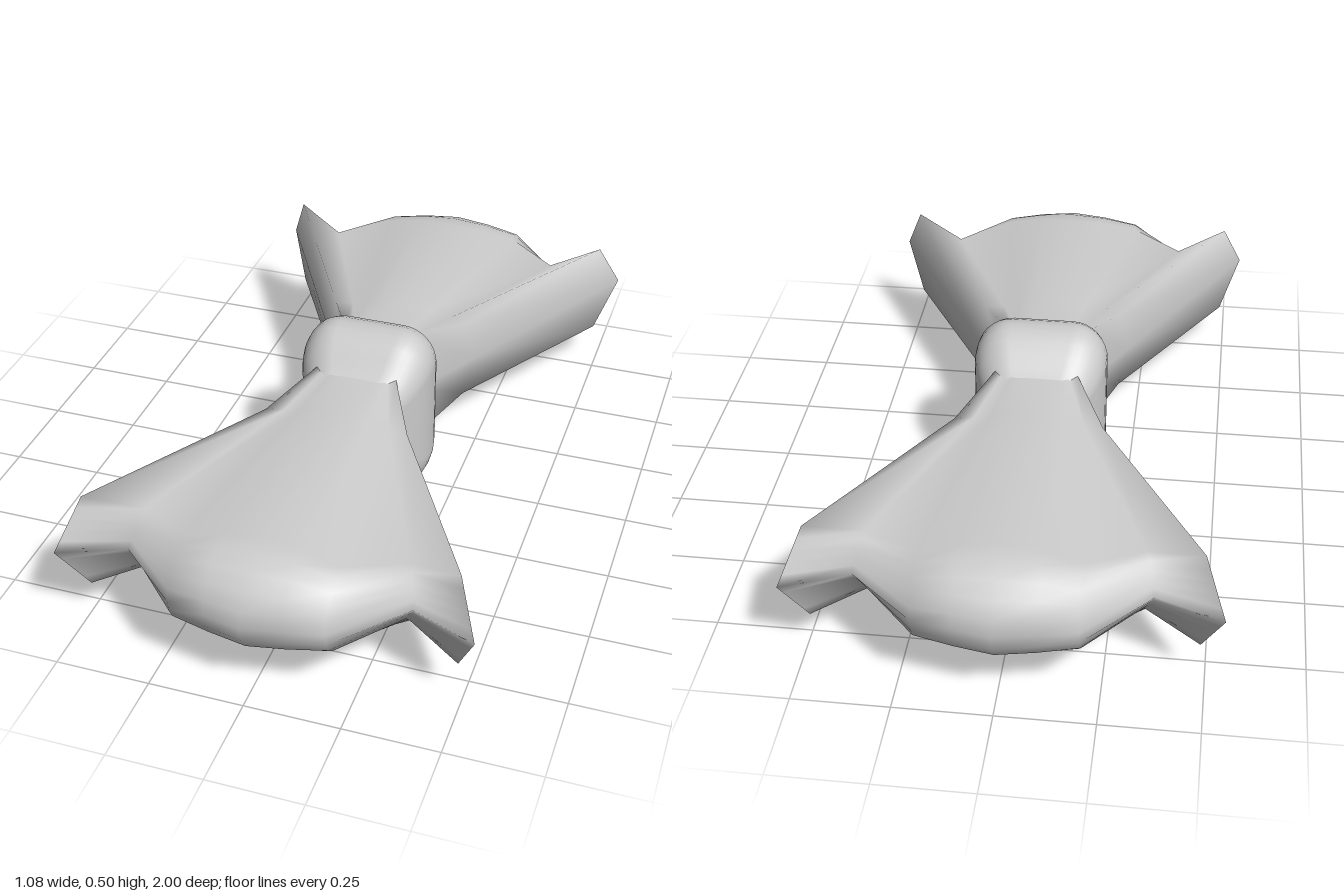
import * as THREE from 'three';
import { mergeVertices } from 'three/addons/utils/BufferGeometryUtils.js';

const MID = 0.2475; // height of the horizontal symmetry plane

// Skin closed rings of [x, y, z] points, counter-clockwise seen from +z, ordered towards +z
function loft(rings) {
  const n = rings[0].length, index = [];
  for (let i = 0; i < rings.length - 1; i++) {
    for (let j = 0; j < n; j++) {
      const a = i * n + j, b = i * n + (j + 1) % n;
      index.push(a, b, b + n, a, b + n, a + n);
    }
  }
  let geo = new THREE.BufferGeometry();
  geo.setAttribute('position', new THREE.Float32BufferAttribute(rings.flat(2), 3));
  geo.setIndex(index);
  geo = mergeVertices(geo, 1e-4);
  geo.computeVertexNormals();
  return geo;
}

// Mirror a quarter profile (side point first, centre last) into a full ring; h is measured from MID
function mirrorRing(quarter) {
  const last = quarter.length - 1;
  const at = ([x, h, z], sx, sy) => [sx * x, MID + sy * h, z];
  return [
    ...quarter.map(p => at(p, 1, 1)),
    ...quarter.slice(0, last).reverse().map(p => at(p, -1, 1)),
    ...quarter.slice(1).map(p => at(p, -1, -1)),
    ...quarter.slice(1, last).reverse().map(p => at(p, 1, -1)),
  ];
}

// Pleated, flaring wing with pointed corners and a rounded end
function wingGeometry() {
  // columns: side, ridge, valley, shoulder, inner fold, centre
  const root = [[0.115, 0, 0.1], [0.11, 0.165, 0.11], [0.085, 0.165, 0.11], [0.06, 0.165, 0.11], [0.03, 0.165, 0.11], [0, 0.165, 0.11]];
  const neck = [[0.222, 0, 0.3], [0.197, 0.12, 0.29], [0.145, 0.128, 0.29], [0.095, 0.146, 0.29], [0.05, 0.149, 0.29], [0, 0.15, 0.29]];
  const end = [[0.54, 0, 0.88], [0.485, 0.139, 0.81], [0.345, 0.09, 0.75], [0.2, 0.112, 0.84], [0.1, 0.132, 0.83], [0, 0.14, 0.82]];
  const seam = [[0.54, 0, 0.88], [0.54, 0, 0.88], [0.37, 0, 0.81], [0.2, 0, 0.96], [0.1, 0, 0.98], [0, 0, 1]];
  const rings = [root, neck, end];
  // Lip curling from the upper edge to the seam; the pointed corners stay straight
  const steps = 5;
  for (let i = 1; i <= steps; i++) {
    const t = i / steps, a = t * Math.PI / 2;
    rings.push(end.map((p, j) => {
      const round = j > 2;
      const f = round ? Math.sin(a) : t, k = round ? Math.cos(a) : 1 - t;
      const q = seam[j];
      return [p[0] + (q[0] - p[0]) * f, p[1] * k, p[2] + (q[2] - p[2]) * f];
    }));
  }
  return loft(rings.map(mirrorRing));
}

// Bulging band: rounded rectangles that shrink away from the middle
function knotGeometry() {
  const half = [[0, 0.183, 0.2475], [0.03, 0.182, 0.243], [0.06, 0.176, 0.229], [0.09, 0.165, 0.205], [0.115, 0.151, 0.177], [0.14, 0.138, 0.162], [0.175, 0.115, 0.14]];
  const sections = [...half.slice(1).reverse().map(([z, w, h]) => [-z, w, h]), ...half];
  return loft(sections.map(([z, w, h]) => {
    const rx = w * 0.54, ry = h * 0.46, quarter = [[w, 0, z]];
    for (let i = 0; i <= 8; i++) {
      const a = i / 8 * Math.PI / 2;
      quarter.push([w - rx + rx * Math.cos(a), h - ry + ry * Math.sin(a), z]);
    }
    quarter.push([0, h, z]);
    return mirrorRing(quarter);
  }));
}

export function createModel() {
  const group = new THREE.Group();
  group.name = 'bow';
  const material = new THREE.MeshStandardMaterial({ color: 0xcccccc, side: THREE.DoubleSide });
  const add = (name, geometry) => {
    const mesh = new THREE.Mesh(geometry, material);
    mesh.name = name;
    group.add(mesh);
    return mesh;
  };

  add('knot', knotGeometry());
  const wing = wingGeometry();
  add('frontWing', wing);
  add('backWing', wing).rotation.y = Math.PI;
  return group;
}
